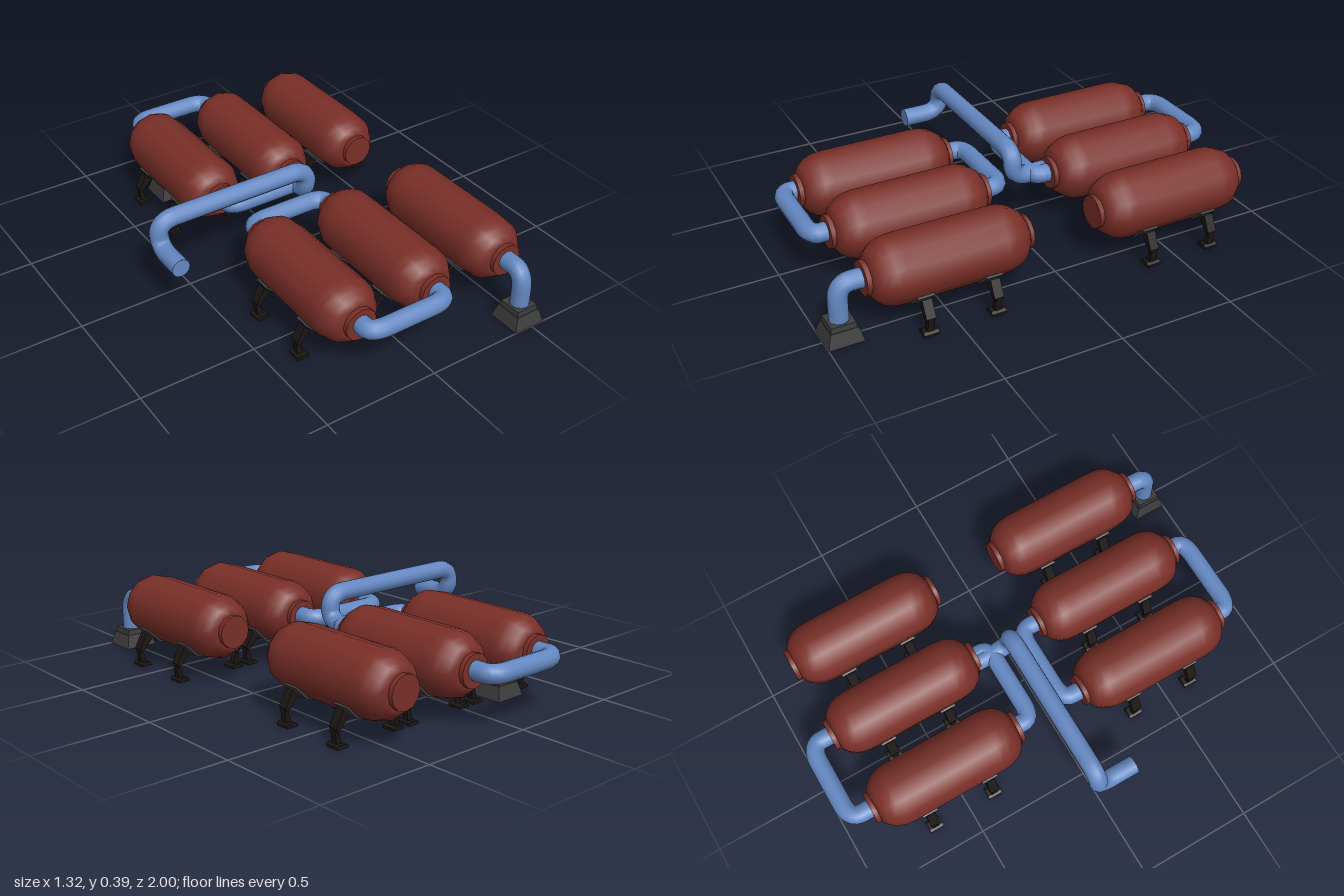
import * as THREE from 'three';

const mat = (color, flatShading = false) => new THREE.MeshStandardMaterial({ color, flatShading });
const V = (x, y, z) => new THREE.Vector3(x, y, z);

const RED = mat(0x7a2f28), BLUE = mat(0x6488c2);
const GREY = mat(0x3c3c3c, true), BLACK = mat(0x1a1614, true);

const TANK_X = [-0.23, 0.13, 0.49];
const TANK_Z = [0.48, -0.52];
const AXIS_Y = 0.228, TANK_R = 0.138, PIPE_R = 0.04;

function add(parent, name, geometry, material, x = 0, y = 0, z = 0) {
  const mesh = new THREE.Mesh(geometry, material);
  mesh.name = name;
  mesh.position.set(x, y, z);
  parent.add(mesh);
  return mesh;
}

// Flat profile in x-y, extruded to a depth centred on z = 0
function slab(points, depth) {
  const shape = new THREE.Shape(points.map(([x, y]) => new THREE.Vector2(x, y)));
  return new THREE.ExtrudeGeometry(shape, { depth, bevelEnabled: false }).translate(0, 0, -depth / 2);
}

// Pipe through corner points, each inner corner rounded into an elbow
function pipe(parent, name, corners, bend = 0.07) {
  const path = new THREE.CurvePath();
  let from = corners[0];
  for (let i = 1; i < corners.length - 1; i++) {
    const c = corners[i];
    const toward = p => {
      const d = p.clone().sub(c);
      return c.clone().addScaledVector(d.clone().normalize(), Math.min(bend, d.length() * 0.48));
    };
    const a = toward(corners[i - 1]), b = toward(corners[i + 1]);
    path.add(new THREE.LineCurve3(from, a));
    path.add(new THREE.QuadraticBezierCurve3(a, c.clone().lerp(a.clone().add(b).multiplyScalar(0.5), 0.12), b));
    from = b;
  }
  path.add(new THREE.LineCurve3(from, corners[corners.length - 1]));
  const segments = Math.ceil(path.getLength() / 0.014);
  return add(parent, name, new THREE.TubeGeometry(path, segments, PIPE_R, 12), BLUE);
}

// Tank shell with rounded shoulders, lying along z
function tankGeometry() {
  const profile = [[0, -0.33], [0.075, -0.33]];
  const shoulder = [[0.075, 0.33], [0.1, 0.312], [0.121, 0.285], [0.134, 0.25], [TANK_R, 0.21]];
  shoulder.slice(1).forEach(([r, z]) => profile.push([r, -z]));
  shoulder.slice().reverse().forEach(p => profile.push(p));
  profile.push([0, 0.33]);
  return new THREE.LatheGeometry(profile.map(([r, z]) => new THREE.Vector2(r, z)), 12).rotateX(Math.PI / 2);
}

// Saddle strip that follows the lower facets of the tank
function cradleGeometry() {
  const arc = r => [210, 240, 270, 300, 330].map(d => {
    const a = THREE.MathUtils.degToRad(d);
    return [r * Math.cos(a), r * Math.sin(a)];
  });
  return slab([...arc(0.148), ...arc(0.13).reverse()], 0.07);
}

const shell = tankGeometry();
const flange = new THREE.CylinderGeometry(0.07, 0.07, 0.7, 12).rotateX(Math.PI / 2);
const cradle = cradleGeometry();
const thigh = slab([[0.1, 0.115], [0.128, 0.145], [0.163, 0.078], [0.152, 0.06]], 0.04);
const shin = slab([[0.147, 0.07], [0.163, 0.078], [0.155, 0.012], [0.128, 0.012]], 0.026);
const foot = slab([[0.113, 0], [0.166, 0], [0.166, 0.01], [0.155, 0.017], [0.124, 0.017], [0.113, 0.01]], 0.062);

function support() {
  const g = new THREE.Group();
  g.name = 'tankSupport';
  add(g, 'cradle', cradle, GREY, 0, AXIS_Y, 0);
  for (const turn of [0, Math.PI]) {
    const leg = new THREE.Group();
    leg.name = 'leg';
    add(leg, 'upperLeg', thigh, BLACK);
    add(leg, 'lowerLeg', shin, BLACK);
    add(leg, 'foot', foot, BLACK);
    leg.rotation.y = turn;
    g.add(leg);
  }
  return g;
}

function tank(x, z) {
  const g = new THREE.Group();
  g.name = 'tank';
  add(g, 'shell', shell, RED, 0, AXIS_Y, 0);
  add(g, 'endFlanges', flange, RED, 0, AXIS_Y, 0);
  for (const dz of [-0.143, 0.143]) {
    const s = support();
    s.position.z = dz;
    g.add(s);
  }
  g.position.set(x, 0, z);
  return g;
}

// Square ground socket: sloped skirt with a smaller block on top
function pedestal(x, z) {
  const g = new THREE.Group();
  g.name = 'pedestal';
  const square = (top, bottom, h) =>
    new THREE.CylinderGeometry(top * Math.SQRT2, bottom * Math.SQRT2, h, 4).rotateY(Math.PI / 4);
  add(g, 'skirt', square(0.056, 0.073, 0.058), GREY, 0, 0.029, 0);
  add(g, 'collar', square(0.05, 0.053, 0.024), GREY, 0, 0.068, 0);
  g.position.set(x, 0, z);
  return g;
}

export function createModel() {
  const model = new THREE.Group();
  model.name = 'tankFarm';

  for (const z of TANK_Z) for (const x of TANK_X) model.add(tank(x, z));

  // U-shaped links between the first two tanks of each row
  const links = [
    ['frontLink', 0.82, 0.892], ['frontInnerLink', 0.14, 0.052],
    ['backInnerLink', -0.18, -0.102], ['backLink', -0.86, -0.96],
  ];
  for (const [name, z0, z1] of links) {
    const [a, b] = TANK_X;
    pipe(model, name, [V(a, 0.232, z0), V(a, 0.232, z1), V(b, 0.232, z1), V(b, 0.232, z0)]);
  }

  // Overhead pipe from the middle back tank to an open end at the side
  pipe(model, 'overheadPipe', [
    V(0.1, 0.232, -0.18), V(0.1, 0.232, -0.018), V(0.1, 0.352, -0.018),
    V(-0.62, 0.352, -0.018), V(-0.62, 0.232, -0.018), V(-0.62, 0.232, 0.16),
  ]);
  add(model, 'pipeEndCap', new THREE.CircleGeometry(PIPE_R, 12), BLUE, -0.62, 0.232, 0.16);

  // Pipes running into the ground sockets
  pipe(model, 'frontDownPipe', [V(0.49, 0.232, 0.82), V(0.49, 0.232, 0.928), V(0.49, 0.06, 0.928)]);
  model.add(pedestal(0.49, 0.927));
  pipe(model, 'underTankPipe', [V(-0.23, 0.15, -0.67), V(-0.23, 0.06, -0.67)]);
  model.add(pedestal(-0.23, -0.67));

  return model;
}
